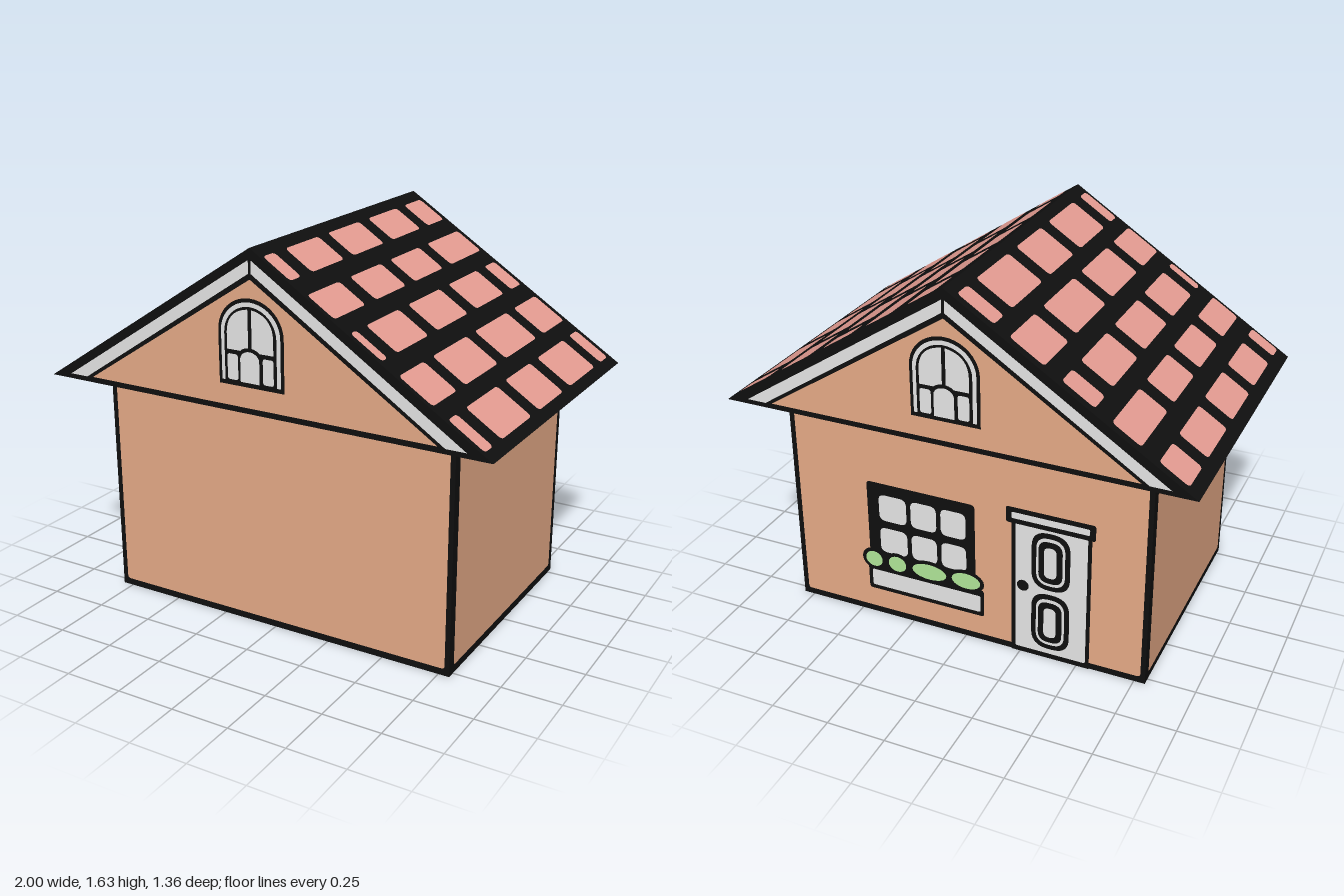
import * as THREE from 'three';

const mat = (name, color) => {
  const m = new THREE.MeshStandardMaterial({ color });
  m.name = name;
  return m;
};

// Main sizes
const HALF_W = 0.797, HALF_D = 0.533, EAVE = 0.979, RIDGE = 1.631, ROOF_D = 0.665;
const RISE = RIDGE - EAVE, SLOPE = Math.hypot(1, RISE);
const STEP = 0.002; // spacing between painted layers

// Shape helpers
const poly = (pts) => new THREE.Shape(pts.map(([x, y]) => new THREE.Vector2(x, y)));

function rect(x0, y0, x1, y1, c = 0) {
  if (!c) return poly([[x0, y0], [x1, y0], [x1, y1], [x0, y1]]);
  const s = new THREE.Shape();
  s.moveTo(x0 + c, y0);
  s.lineTo(x1 - c, y0);
  s.quadraticCurveTo(x1, y0, x1, y0 + c);
  s.lineTo(x1, y1 - c);
  s.quadraticCurveTo(x1, y1, x1 - c, y1);
  s.lineTo(x0 + c, y1);
  s.quadraticCurveTo(x0, y1, x0, y1 - c);
  s.lineTo(x0, y0 + c);
  s.quadraticCurveTo(x0, y0, x0 + c, y0);
  return s;
}

function ellipse(x, y, rx, ry) {
  const s = new THREE.Shape();
  s.absellipse(x, y, rx, ry, 0, Math.PI * 2);
  return s;
}

function arch(w, y0, spring, top) {
  const s = new THREE.Shape();
  s.moveTo(-w, y0);
  s.lineTo(w, y0);
  s.lineTo(w, spring);
  s.absellipse(0, spring, w, top - spring, 0, Math.PI);
  s.lineTo(-w, y0);
  return s;
}

export function createModel() {
  const black = mat('outline black', 0x0f0f0f);
  const wall = mat('wall peach', 0xffbd96);
  const brick = mat('roof pink', 0xf6a89d);
  const white = mat('trim white', 0xffffff);
  const green = mat('plant green', 0xc0fba6);

  const house = new THREE.Group();
  house.name = 'house';

  const group = (name, parent) => {
    const g = new THREE.Group();
    g.name = name;
    parent.add(g);
    return g;
  };
  // Flat painted face on a group's local xy plane
  const paint = (parent, name, shapes, material, layer = 1) => {
    const m = new THREE.Mesh(new THREE.ShapeGeometry(shapes, 10), material);
    m.name = name;
    m.position.z = layer * STEP;
    parent.add(m);
    return m;
  };

  // Body block: dark edges, pale underside
  const body = new THREE.Mesh(
    new THREE.BoxGeometry(HALF_W * 2, EAVE + 0.004, HALF_D * 2),
    [black, black, black, white, black, black]);
  body.name = 'body';
  body.position.y = (EAVE + 0.004) / 2;
  house.add(body);

  // Roof prism
  const roofGeo = new THREE.ExtrudeGeometry(
    poly([[-1, EAVE], [1, EAVE], [0, RIDGE]]), { depth: ROOF_D * 2, bevelEnabled: false });
  roofGeo.translate(0, 0, -ROOF_D);
  const roof = new THREE.Mesh(roofGeo, black);
  roof.name = 'roof';
  house.add(roof);

  // Side walls
  for (const s of [1, -1]) {
    const side = group(s > 0 ? 'leftWall' : 'rightWall', house);
    side.position.x = s * HALF_W;
    side.rotation.y = s * Math.PI / 2;
    paint(side, 'wallPanel', rect(-0.497, 0.036, 0.5, EAVE, 0.015), wall);
  }

  // Arched attic window
  function atticWindow(parent) {
    const w = group('atticWindow', parent);
    paint(w, 'outline', arch(0.147, 1.088, 1.3, 1.44), black, 2);
    paint(w, 'frame', arch(0.133, 1.106, 1.3, 1.425), white, 3);
    paint(w, 'innerOutline', arch(0.117, 1.1, 1.295, 1.408), black, 4);
    const panes = [];
    for (const s of [1, -1]) {
      panes.push(rect(s > 0 ? 0.056 : -0.104, 1.112, s > 0 ? 0.104 : -0.056, 1.215, 0.012));
      const q = new THREE.Shape();
      q.moveTo(s * 0.008, 1.232);
      q.lineTo(s * 0.104, 1.232);
      q.lineTo(s * 0.104, 1.3);
      q.quadraticCurveTo(s * 0.1, 1.385, s * 0.008, 1.398);
      panes.push(q);
    }
    paint(w, 'panes', panes, white, 5);
    paint(w, 'centreOutline', arch(0.054, 1.1, 1.21, 1.248), black, 6);
    paint(w, 'centrePane', arch(0.043, 1.11, 1.2, 1.234), white, 7);
  }

  // Front and back: wall panel and gable
  const ends = [1, -1].map((s) => {
    const end = group(s > 0 ? 'front' : 'back', house);
    end.rotation.y = s > 0 ? 0 : Math.PI;
    const face = group('endWall', end);
    face.position.z = HALF_D;
    paint(face, 'wallPanel', rect(-0.773, 0.03, 0.777, EAVE, 0.015), wall);
    const gable = group('gable', end);
    gable.position.z = ROOF_D;
    paint(gable, 'gablePanel', poly([[-0.785, 1.003], [0.785, 1.003], [0, 1.512]]), wall);
    for (const m of [1, -1]) {
      paint(gable, 'bargeboard', poly([
        [m * 0.9, 1.0], [m * 0.006, 1.585], [m * 0.006, 1.533], [m * 0.815, 1.0]]), white);
    }
    atticWindow(gable);
    return face;
  });
  const back = ends[1];

  // Back window with six panes
  const win = group('window', back);
  paint(win, 'frame', rect(-0.445, 0.24, 0.05, 0.657, 0.02), black, 2);
  const panes = [];
  for (const [x0, x1] of [[-0.39, -0.262], [-0.242, -0.124], [-0.104, 0.01]]) {
    for (const [y0, y1] of [[0.325, 0.445], [0.48, 0.605]]) panes.push(rect(x0, y0, x1, y1, 0.03));
  }
  paint(win, 'panes', panes, white, 3);
  // Flower box and plants
  paint(win, 'boxOutline', rect(-0.455, 0.125, 0.088, 0.255, 0.015), black, 3);
  paint(win, 'flowerBox', rect(-0.437, 0.145, 0.073, 0.225, 0.01), white, 4);
  const plants = [[-0.424, 0.28, 0.04], [-0.313, 0.28, 0.042], [-0.162, 0.281, 0.08], [0.008, 0.284, 0.066]];
  paint(win, 'plantOutlines', plants.map(([x, y, r]) => ellipse(x, y, r + 0.017, 0.053)), black, 4);
  paint(win, 'plants', plants.map(([x, y, r]) => ellipse(x, y, r, 0.037)), green, 5);

  // Back door with two oval panels
  const door = group('door', back);
  paint(door, 'outline', rect(0.212, 0, 0.556, 0.66), black, 2);
  paint(door, 'doorLeaf', rect(0.23, 0.025, 0.54, 0.625, 0.01), white, 3);
  paint(door, 'lintelOutline', rect(0.19, 0.622, 0.572, 0.695, 0.012), black, 4);
  paint(door, 'lintel', rect(0.215, 0.645, 0.548, 0.674, 0.008), white, 5);
  for (const y of [0.475, 0.185]) {
    paint(door, 'panelOutline', rect(0.302, y - 0.135, 0.468, y + 0.135, 0.075), black, 4);
    paint(door, 'panelRim', rect(0.323, y - 0.112, 0.447, y + 0.112, 0.055), white, 5);
    paint(door, 'panelGroove', rect(0.333, y - 0.098, 0.437, y + 0.098, 0.045), black, 6);
    paint(door, 'panelCentre', rect(0.358, y - 0.072, 0.412, y + 0.072, 0.025), white, 7);
  }
  paint(door, 'knob', ellipse(0.264, 0.335, 0.026, 0.026), black, 4);

  // Roof bricks: x range of each row, then z ranges
  const rows = [
    [[0.048, 0.166], [[0.65, 0.573], [0.496, 0.254], [0.181, -0.073], [-0.15, -0.405], [-0.478, -0.634]]],
    [[0.235, 0.35], [[0.647, 0.414], [0.332, 0.082], [0.004, -0.254], [-0.332, -0.634]]],
    [[0.416, 0.546], [[0.647, 0.603], [0.53, 0.272], [0.194, -0.086], [-0.168, -0.448], [-0.53, -0.634]]],
    [[0.614, 0.752], [[0.647, 0.448], [0.375, 0.073], [-0.004, -0.323], [-0.4, -0.634]]],
    [[0.812, 0.958], [[0.647, 0.578], [0.5, 0.22], [0.142, -0.108], [-0.185, -0.474], [-0.547, -0.634]]],
  ];
  for (const s of [1, -1]) {
    const slope = group(s > 0 ? 'leftRoofSlope' : 'rightRoofSlope', house);
    const along = new THREE.Vector3(0, 0, -s);
    const up = new THREE.Vector3(-s, RISE, 0).normalize();
    slope.quaternion.setFromRotationMatrix(
      new THREE.Matrix4().makeBasis(along, up, along.clone().cross(up)));
    slope.position.y = RIDGE;
    rows.forEach(([[a, b], spans]) => {
      // The right slope runs from eave to ridge
      const [near, far] = s > 0 ? [a, b] : [1 - b, 1 - a];
      const shapes = spans.map(([p, q]) => {
        const lo = s > 0 ? -p : q, hi = s > 0 ? -q : p;
        return rect(lo, -far * SLOPE, hi, -near * SLOPE, 0.02);
      });
      paint(slope, 'brickRow', shapes, brick);
    });
  }

  return house;
}
